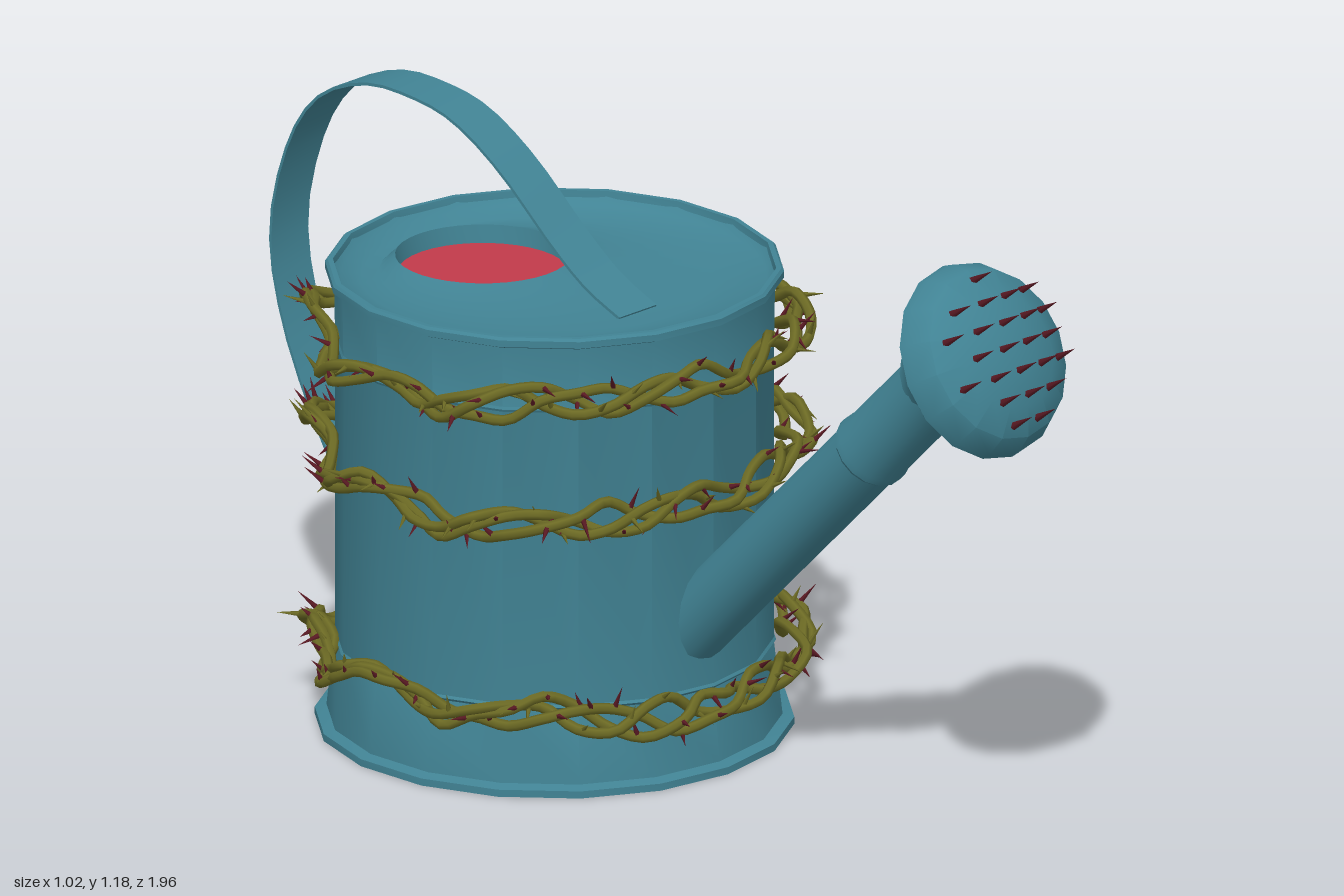
import * as THREE from 'three';
import { mergeGeometries, toCreasedNormals } from 'three/addons/utils/BufferGeometryUtils.js';

const V3 = (x, y, z) => new THREE.Vector3(x, y, z);
const UP = V3(0, 1, 0);
const BODY_Z = -0.315;

function paint(color) {
  return new THREE.MeshStandardMaterial({ color, side: THREE.DoubleSide });
}

function addMesh(parent, name, geometry, material) {
  const mesh = new THREE.Mesh(geometry, material);
  mesh.name = name;
  parent.add(mesh);
  return mesh;
}

// Turned part: profile of [radius, height], smooth around and sharp at corners
function turned(profile, sides) {
  const points = profile.map(([r, y]) => new THREE.Vector2(r, y));
  return toCreasedNormals(new THREE.LatheGeometry(points, sides), 0.6);
}

// Cone whose base sits at a point and whose tip points along a direction
function thorn(base, direction, radius, length) {
  const cone = new THREE.ConeGeometry(radius, length, 5, 1);
  cone.translate(0, length * 0.5, 0);
  cone.applyQuaternion(new THREE.Quaternion().setFromUnitVectors(UP, direction.clone().normalize()));
  return cone.translate(base.x, base.y, base.z);
}

function seeded(seed) {
  return () => {
    seed = (seed * 16807) % 2147483647;
    return seed / 2147483647;
  };
}

// Lid: rings blending from the round rim to the off-centre filling hole
function lidGeometry(sides) {
  // [radius, y, z]
  const rings = [
    [0.415, 0.895, -0.315], [0.4, 0.88, -0.317], [0.33, 0.866, -0.36],
    [0.25, 0.862, -0.425], [0.19, 0.87, -0.48], [0.165, 0.878, -0.5], [0.16, 0.84, -0.5],
  ];
  const positions = [], index = [];
  rings.forEach(([r, y, z], j) => {
    for (let i = 0; i < sides; i++) {
      const a = (i / sides) * Math.PI * 2;
      positions.push(Math.sin(a) * r, y, z + Math.cos(a) * r);
      if (j === 0) continue;
      const n = (i + 1) % sides, o = (j - 1) * sides, p = j * sides;
      index.push(o + i, o + n, p + i, o + n, p + n, p + i);
    }
  });
  const geometry = new THREE.BufferGeometry();
  geometry.setAttribute('position', new THREE.Float32BufferAttribute(positions, 3));
  geometry.setIndex(index);
  return toCreasedNormals(geometry, 0.8);
}

// Flat strap swept along a curve in the side plane
function handleGeometry() {
  const path = [
    [-0.09, 0.865], [-0.18, 0.905], [-0.27, 0.97], [-0.4, 1.08], [-0.52, 1.15], [-0.63, 1.173],
    [-0.75, 1.17], [-0.87, 1.115], [-0.95, 1.0], [-0.994, 0.82], [-0.96, 0.64],
    [-0.87, 0.45], [-0.785, 0.33], [-0.74, 0.265], [-0.735, 0.22],
  ];
  const curve = new THREE.SplineCurve(path.map(([z, y]) => new THREE.Vector2(-z, y)));
  const outer = [], inner = [];
  for (let i = 0; i <= 40; i++) {
    const p = curve.getPoint(i / 40), t = curve.getTangent(i / 40);
    const side = new THREE.Vector2(-t.y, t.x).multiplyScalar(0.003);
    outer.push(p.clone().add(side));
    inner.unshift(p.clone().sub(side));
  }
  const shape = new THREE.Shape([...outer, ...inner]);
  const strap = new THREE.ExtrudeGeometry(shape, { depth: 0.1, bevelEnabled: false });
  strap.translate(0, 0, -0.05).rotateY(Math.PI / 2);
  return toCreasedNormals(strap, 0.6);
}

// Wreath of twisted thorny strands around the body
function addWreath(parent, name, y, seed, vine, thornPaint) {
  const wreath = new THREE.Group();
  wreath.name = name;
  wreath.position.set(0.005, y, BODY_Z);
  parent.add(wreath);
  const random = seeded(seed);
  for (let s = 0; s < 3; s++) {
    const phase = (s / 3) * Math.PI * 2 + random();
    const points = [];
    for (let i = 0; i < 44; i++) {
      const a = (i / 44) * Math.PI * 2;
      const twist = a * (7 + s) + phase;
      const r = 0.45 + 0.022 * Math.cos(twist) + (random() - 0.5) * 0.035;
      const h = 0.028 * Math.sin(twist) + 0.012 * Math.sin(a * 2 + seed) + (random() - 0.5) * 0.022;
      points.push(V3(Math.sin(a) * r, h, Math.cos(a) * r));
    }
    const curve = new THREE.CatmullRomCurve3(points, true);
    addMesh(wreath, 'vineStrand', new THREE.TubeGeometry(curve, 150, 0.0105, 6, true), vine);

    const spikes = [];
    for (let i = 0; i < 34; i++) {
      const t = (i + random() * 0.7) / 34;
      const p = curve.getPointAt(t);
      const dir = V3(p.x, 0, p.z).normalize().multiplyScalar(0.25 + random() * 0.6);
      dir.y = (random() - 0.35) * 1.6;
      dir.addScaledVector(curve.getTangentAt(t), random() - 0.5);
      spikes.push(thorn(p, dir, 0.0065, 0.03 + random() * 0.028));
    }
    addMesh(wreath, 'vineThorns', mergeGeometries(spikes), i3(s) ? vine : thornPaint);
  }
}
const i3 = (s) => s === 2;

export function createModel() {
  const model = new THREE.Group();
  model.name = 'wateringCan';
  const teal = paint(0x418394), red = paint(0xc23a4a);
  const vine = paint(0x6c6a24), thornPaint = paint(0x5c1a24);

  // Open-bottomed body with flared foot, seams and rolled rim
  const body = addMesh(model, 'body', turned([
    [0.45, 0], [0.45, 0.014], [0.428, 0.02], [0.412, 0.162], [0.416, 0.167], [0.412, 0.172],
    [0.412, 0.752], [0.415, 0.757], [0.412, 0.762], [0.414, 0.88], [0.431, 0.887],
    [0.431, 0.9], [0.426, 0.905], [0.416, 0.905], [0.414, 0.892],
  ], 18), teal);
  body.position.set(0.005, 0, BODY_Z);

  addMesh(model, 'lid', lidGeometry(36), teal).position.x = 0.005;

  // Liquid seen through the filling hole
  const liquid = addMesh(model, 'liquid', new THREE.CircleGeometry(0.163, 28).rotateX(-Math.PI / 2), red);
  liquid.position.set(0.005, 0.843, -0.5);

  addMesh(model, 'handle', handleGeometry(), teal).position.x = -0.005;

  // Spout pipe with a collar, rising at 45 degrees
  const spout = addMesh(model, 'spout', turned([
    [0.07, 0], [0.07, 0.645], [0.077, 0.655], [0.077, 0.67], [0.073, 0.69], [0.073, 0.91],
  ], 16), teal);
  spout.position.set(-0.005, 0.275, 0.05);
  spout.quaternion.setFromUnitVectors(UP, V3(0, 1, 1).normalize());

  // Sprinkler head: cone neck and shallow dome
  const head = new THREE.Group();
  head.name = 'sprinklerHead';
  head.position.set(-0.005, 0.925, 0.68);
  head.quaternion.setFromUnitVectors(UP, V3(0, 0.47, 0.88).normalize());
  model.add(head);
  const dome = [[0.19, 0.125], [0.187, 0.145], [0.166, 0.185], [0.11, 0.215], [0.055, 0.228], [0, 0.232]];
  addMesh(head, 'rose', turned([[0.074, -0.015], [0.082, 0.01], [0.125, 0.055], ...dome], 16), teal);

  // Rows of spikes over the dome
  const spikes = [];
  [1, 4, 5, 4, 5, 3, 2].forEach((count, row) => {
    const v = 0.145 - row * 0.047;
    for (let i = 0; i < count; i++) {
      const u = (i - (count - 1) / 2) * 0.062 + (row % 2 ? 0.004 : -0.004);
      const r = Math.hypot(u, v);
      const k = dome.findIndex(([dr]) => dr <= r);
      const [r0, h0] = dome[k - 1], [r1, h1] = dome[k];
      const h = h0 + ((r0 - r) / (r0 - r1)) * (h1 - h0) - 0.006;
      spikes.push(thorn(V3(u, h, -v), V3(0, 1, -0.05), 0.0085, 0.06));
    }
  });
  addMesh(head, 'roseSpikes', mergeGeometries(spikes), thornPaint);

  // Thorny wreaths
  addWreath(model, 'lowerWreath', 0.16, 11, vine, thornPaint);
  addWreath(model, 'middleWreath', 0.555, 57, vine, thornPaint);
  addWreath(model, 'upperWreath', 0.783, 203, vine, thornPaint);
  return model;
}
